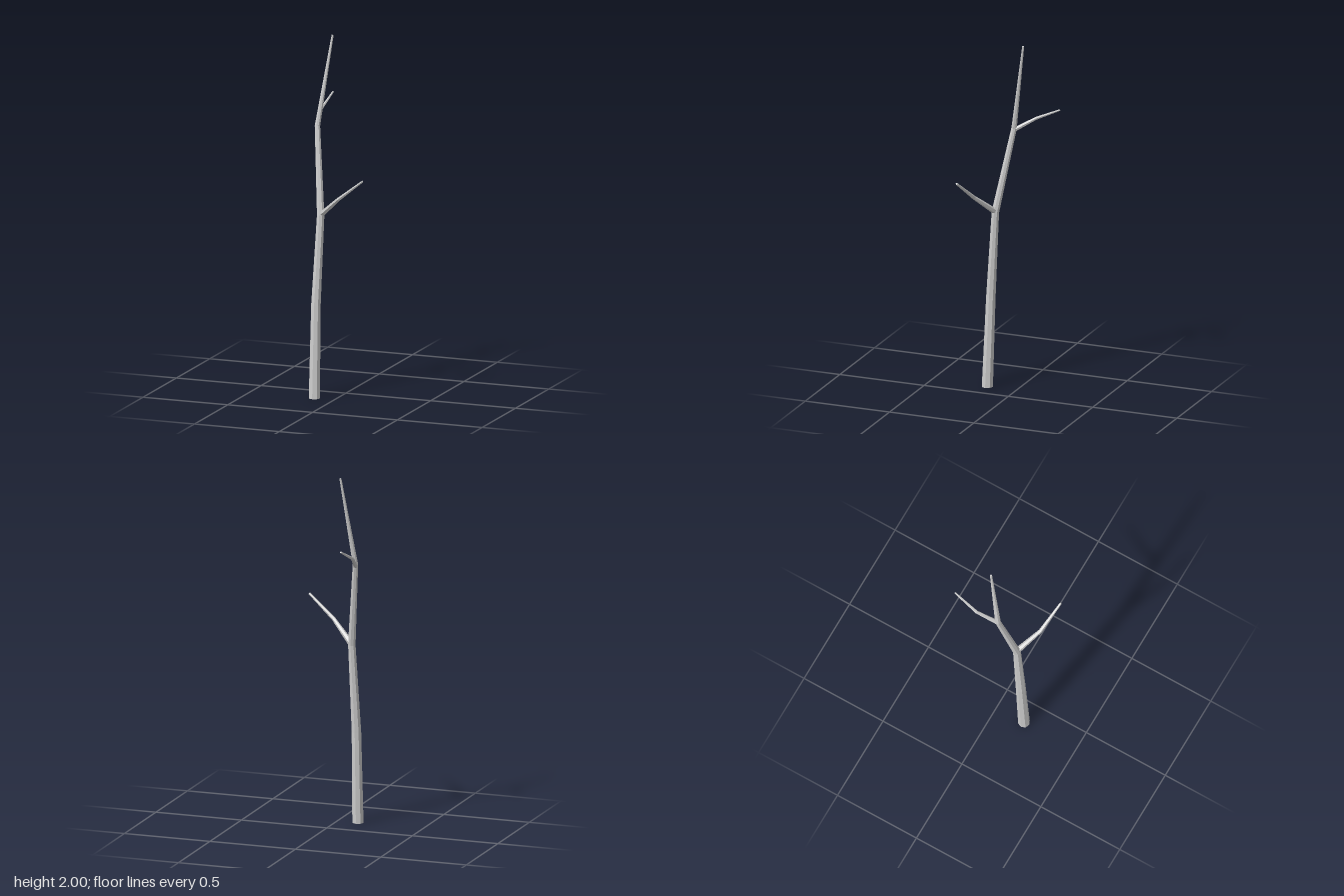
import * as THREE from 'three';

// Faceted limb: one ring per [x, y, z, radius] station, capped at both ends
function limb(name, sides, stations, startNormal) {
  const centres = stations.map(([x, y, z]) => new THREE.Vector3(x, y, z));
  const last = centres.length - 1;
  const positions = [];
  const index = [];
  const side = new THREE.Vector3(1, 0, 0);
  if (Math.abs(centres[last].x - centres[0].x) > 0.2) side.set(0, 0, -1);

  centres.forEach((c, i) => {
    // ring plane follows the bisector of neighbouring segments
    const t = new THREE.Vector3();
    if (i > 0) t.add(c.clone().sub(centres[i - 1]).normalize());
    if (i < last) t.add(centres[i + 1].clone().sub(c).normalize());
    t.normalize();
    if (i === 0 && startNormal) t.copy(startNormal);
    const u = side.addScaledVector(t, -side.dot(t)).normalize();
    const v = new THREE.Vector3().crossVectors(t, u);
    for (let k = 0; k < sides; k++) {
      const a = (k / sides) * Math.PI * 2;
      const p = c.clone()
        .addScaledVector(u, Math.cos(a) * stations[i][3])
        .addScaledVector(v, Math.sin(a) * stations[i][3]);
      positions.push(p.x, p.y, p.z);
    }
  });

  for (let i = 0; i < last; i++) {
    for (let k = 0; k < sides; k++) {
      const a = i * sides + k;
      const b = i * sides + ((k + 1) % sides);
      index.push(a, b, b + sides, a, b + sides, a + sides);
    }
  }
  // end caps
  const top = last * sides;
  for (let k = 1; k < sides - 1; k++) {
    index.push(0, k + 1, k, top, top + k, top + k + 1);
  }

  const geometry = new THREE.BufferGeometry();
  geometry.setAttribute('position', new THREE.Float32BufferAttribute(positions, 3));
  geometry.setIndex(index);
  const flat = geometry.toNonIndexed();
  flat.computeVertexNormals();
  const mesh = new THREE.Mesh(flat, new THREE.MeshStandardMaterial({ color: 0xcccccc, flatShading: true }));
  mesh.name = name;
  return mesh;
}

export function createModel() {
  const tree = new THREE.Group();
  tree.name = 'bareTree';

  // Leaning, tapering trunk with a flat foot
  tree.add(limb('trunk', 8, [
    [-0.118, 0, 0.173, 0.033],
    [-0.117, 0.52, 0.152, 0.028],
    [-0.102, 1.02, 0.119, 0.022],
    [-0.156, 1.5, 0.03, 0.016],
    [-0.097, 2, -0.048, 0.006],
  ], new THREE.Vector3(0, 1, 0)));

  // Lower branch reaching left and forward
  tree.add(limb('lowerBranch', 6, [
    [-0.098, 1.025, 0.119, 0.017],
    [0.03, 1.135, 0.192, 0.011],
    [0.188, 1.258, 0.23, 0.006],
  ]));

  // Upper branch reaching backward
  tree.add(limb('upperBranch', 6, [
    [-0.156, 1.49, 0.03, 0.013],
    [-0.184, 1.563, -0.089, 0.009],
    [-0.168, 1.634, -0.236, 0.005],
  ]));

  return tree;
}
